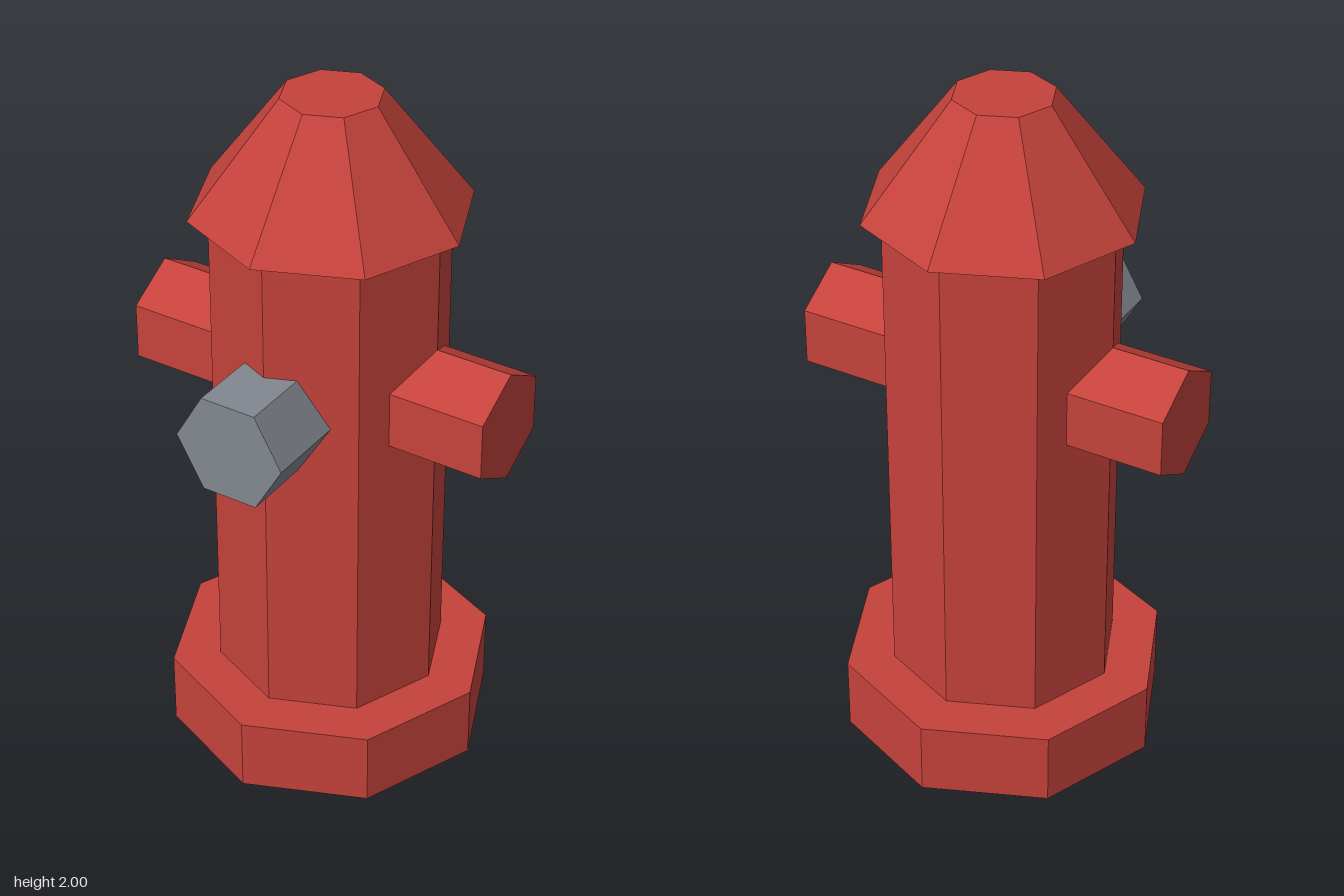
import * as THREE from 'three';

const AXIS_Z = -0.015; // the barrel sits slightly behind the centre
const OUTLET_Y = 1.17;

export function createModel() {
  const model = new THREE.Group();
  model.name = 'fireHydrant';

  const red = new THREE.MeshStandardMaterial({ color: 0xc5423b, flatShading: true });
  red.name = 'red paint';
  const grey = new THREE.MeshStandardMaterial({ color: 0x82878f, flatShading: true });
  grey.name = 'grey metal';

  const add = (name, geometry, material, x, y, z) => {
    const mesh = new THREE.Mesh(geometry, material);
    mesh.name = name;
    mesh.position.set(x, y, z);
    model.add(mesh);
  };

  // Upright eight-sided section between two heights
  const section = (name, rTop, rBottom, y0, y1) =>
    add(name, new THREE.CylinderGeometry(rTop, rBottom, y1 - y0, 8), red, 0, (y0 + y1) / 2, AXIS_Z);

  section('base', 0.471, 0.471, 0, 0.22);
  section('barrel', 0.332, 0.332, 0.22, 1.67);
  section('bonnet', 0.139, 0.388, 1.67, 2);

  // Six-sided outlets
  const hexPrism = (length) =>
    new THREE.CylinderGeometry(0.165, 0.165, length, 6, 1, false, Math.PI / 2);

  // Side outlets, with a corner pointing up
  for (const [name, side] of [['leftOutlet', 1], ['rightOutlet', -1]]) {
    add(name, hexPrism(0.355).rotateZ(Math.PI / 2), red, side * 0.3775, OUTLET_Y, AXIS_Z);
  }

  // Front outlet, with a flat side up
  add('frontOutlet', hexPrism(0.285).rotateX(Math.PI / 2), grey, 0, OUTLET_Y, 0.3425);

  return model;
}
